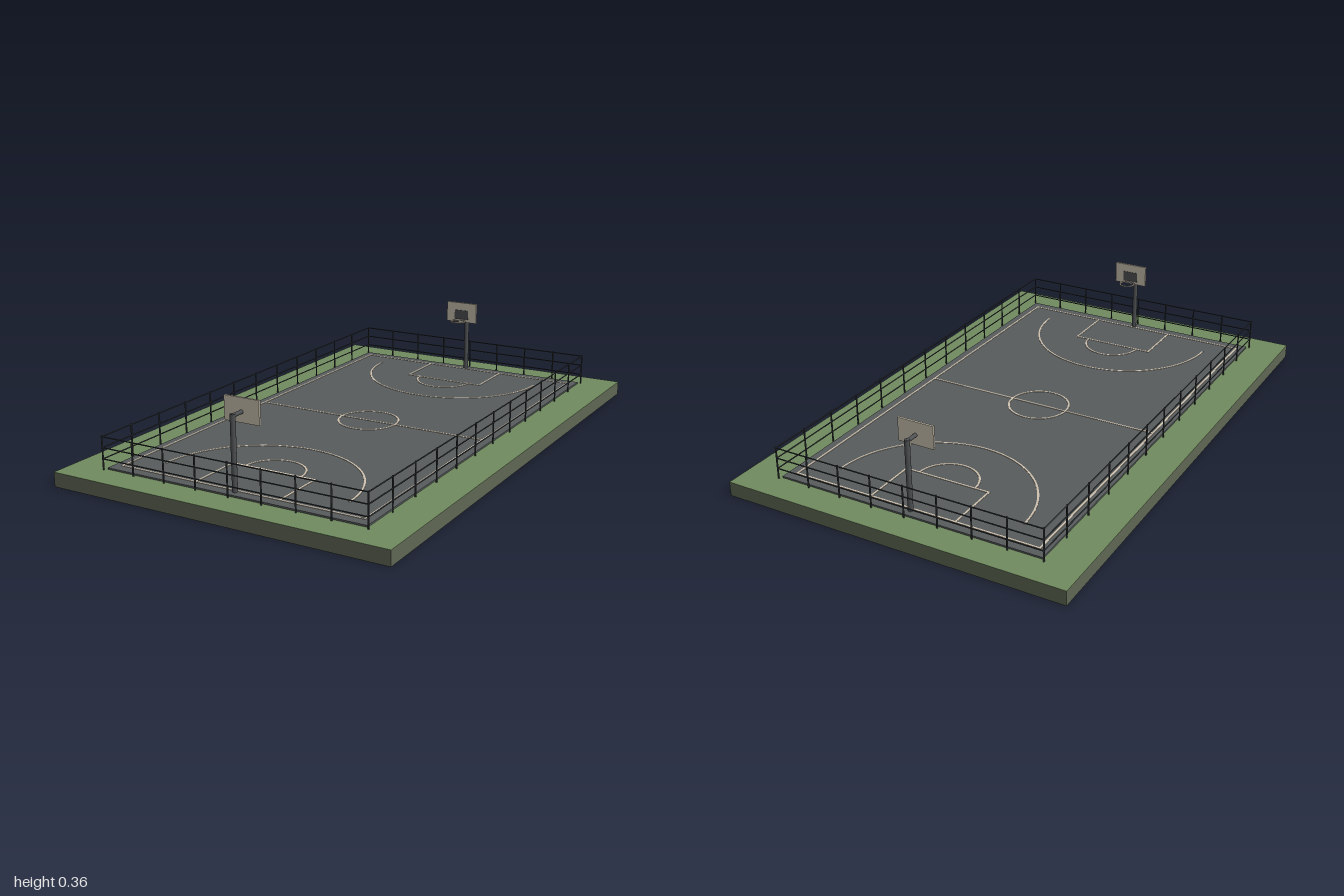
import * as THREE from 'three';

const mat = (name, color) => Object.assign(new THREE.MeshStandardMaterial({ color }), { name });

export function createModel() {
  const grass = mat('grass green', 0x708b5f);
  const soil = mat('soil olive', 0x5e6653);
  const asphalt = mat('asphalt grey', 0x575b5c);
  const paint = mat('line beige', 0xcfc2ae);
  const boardMat = mat('board beige', 0xc9c0ae);
  const steel = mat('pole grey', 0x4c4f51);
  const fenceMat = mat('fence black', 0x343739);

  const model = new THREE.Group();
  model.name = 'basketballCourt';

  const add = (parent, name, geo, material, x = 0, y = 0, z = 0) => {
    const mesh = new THREE.Mesh(geo, material);
    mesh.name = name;
    mesh.position.set(x, y, z);
    parent.add(mesh);
    return mesh;
  };
  const box = (parent, name, material, w, h, d, x, y, z) =>
    add(parent, name, new THREE.BoxGeometry(w, h, d), material, x, y, z);

  // Soil slab with a thin grass top, and the playing surface
  box(model, 'soilBase', soil, 1.29, 0.052, 2, 0, 0.026, 0);
  box(model, 'grassTop', grass, 1.29, 0.001, 2, 0, 0.0525, 0);
  box(model, 'courtSurface', asphalt, 1.01, 0.007, 1.78, 0, 0.0555, 0);

  // Painted lines, as thin plates
  const lineY = 0.0597, lineH = 0.0014, lineW = 0.007;
  const lines = new THREE.Group();
  lines.name = 'courtLines';
  model.add(lines);
  const lineX = (name, length, z) => box(lines, name, paint, length, lineH, lineW, 0, lineY, z);
  const lineZ = (name, length, x, z) => box(lines, name, paint, lineW, lineH, length, x, lineY, z);
  // Flat curved band from angle a0 to a1
  const arc = (name, r, z, a0, a1) => {
    const shape = new THREE.Shape();
    shape.absarc(0, 0, r + lineW / 2, a0, a1, false);
    shape.absarc(0, 0, r - lineW / 2, a1, a0, true);
    const geo = new THREE.ExtrudeGeometry(shape, { depth: lineH, bevelEnabled: false, curveSegments: 32 });
    geo.rotateX(-Math.PI / 2);
    add(lines, name, geo, paint, 0, lineY - lineH / 2, z);
  };
  lineX('halfwayLine', 0.95, 0);
  for (const s of [-1, 1]) lineZ('sideline', 1.7, s * 0.473, 0);
  arc('centreCircle', 0.114, 0, 0, Math.PI);
  arc('centreCircle', 0.114, 0, Math.PI, Math.PI * 2);

  // Everything that repeats at each end of the court
  for (const s of [-1, 1]) {
    lineX('baseline', 0.953, s * 0.85);
    lineX('freeThrowLine', 0.337, s * 0.643);
    for (const x of [-0.165, 0.165]) lineZ('keyLine', 0.207, x, s * 0.7465);
    const start = s > 0 ? 0 : Math.PI;
    arc('freeThrowArc', 0.111, s * 0.643, start, start + Math.PI);
    arc('threePointArc', 0.363, s * 0.755, start, start + Math.PI);

    // Hoop, modelled facing +z at the far end and turned for the near end
    const hoop = new THREE.Group();
    hoop.name = s > 0 ? 'frontHoop' : 'backHoop';
    hoop.rotation.y = s > 0 ? Math.PI : 0;
    model.add(hoop);
    add(hoop, 'pole', new THREE.CylinderGeometry(0.0095, 0.0095, 0.262, 16), steel, 0, 0.189, -0.86);
    const arm = add(hoop, 'arm', new THREE.CylinderGeometry(0.007, 0.007, 0.054, 16), steel, 0, 0.314, -0.838);
    arm.rotation.x = Math.PI / 2;
    box(hoop, 'backboard', boardMat, 0.136, 0.084, 0.008, 0, 0.319, -0.808);
    box(hoop, 'targetSquare', steel, 0.062, 0.04, 0.002, 0, 0.309, -0.803);
    box(hoop, 'rimBracket', steel, 0.014, 0.006, 0.008, 0, 0.287, -0.802);
    const rim = add(hoop, 'rim', new THREE.TorusGeometry(0.029, 0.003, 8, 28), paint, 0, 0.287, -0.771);
    rim.rotation.x = Math.PI / 2;
  }

  // Fence: posts and three rails on every side
  const fence = new THREE.Group();
  fence.name = 'fence';
  model.add(fence);
  const fx = 0.514, fz = 0.9;
  const post = (x, z) =>
    add(fence, 'fencePost', new THREE.CylinderGeometry(0.003, 0.003, 0.124, 8), fenceMat, x, 0.113, z);
  const railGeo = (len) => new THREE.CylinderGeometry(0.0023, 0.0023, len, 8);
  for (const s of [-1, 1]) {
    for (let i = 0; i <= 8; i++) post(-fx + (i * 2 * fx) / 8, s * fz);
    for (let i = 1; i < 12; i++) post(s * fx, -fz + (i * 2 * fz) / 12);
    for (const y of [0.092, 0.132, 0.171]) {
      add(fence, 'endRail', railGeo(2 * fx), fenceMat, 0, y, s * fz).rotation.z = Math.PI / 2;
      add(fence, 'sideRail', railGeo(2 * fz), fenceMat, s * fx, y, 0).rotation.x = Math.PI / 2;
    }
  }
  return model;
}
